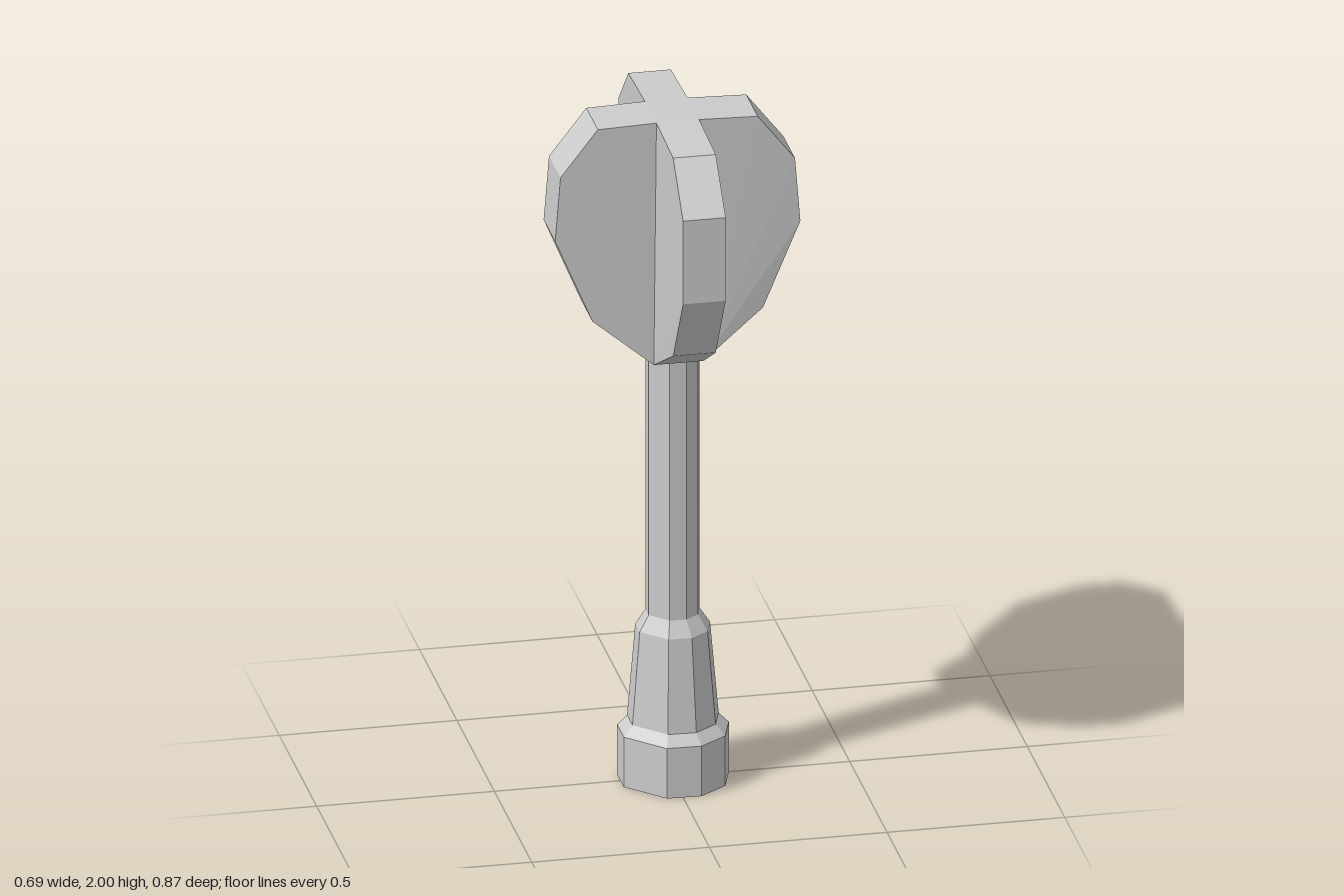
import * as THREE from 'three';

const material = new THREE.MeshStandardMaterial({ color: 0xcccccc, flatShading: true });

// Mesh from a flat list of triangle corners (Vector3)
function meshFromCorners(corners, name) {
  const geometry = new THREE.BufferGeometry().setFromPoints(corners);
  geometry.computeVertexNormals();
  const mesh = new THREE.Mesh(geometry, material);
  mesh.name = name;
  return mesh;
}

// Nine-sided handle section, listed counter-clockwise seen from below
const SECTION = [
  [0.16, 0], [0.13, 0.094], [0.052, 0.15], [-0.045, 0.147], [-0.145, 0.045],
  [-0.145, -0.045], [-0.045, -0.147], [0.052, -0.15], [0.13, -0.094],
];

// Closed loft of the handle section through [height, scale] levels
function loft(levels, name) {
  const rings = levels.map(([y, s]) => SECTION.map(([x, z]) => new THREE.Vector3(x * s, y, z * s)));
  const corners = [];
  const n = SECTION.length;
  for (let k = 0; k < rings.length - 1; k++) {
    for (let i = 0; i < n; i++) {
      const j = (i + 1) % n;
      const a = rings[k][i], b = rings[k][j], c = rings[k + 1][j], d = rings[k + 1][i];
      corners.push(a, c, b, a, d, c);
    }
  }
  const last = rings[rings.length - 1];
  for (let i = 1; i < n - 1; i++) {
    corners.push(rings[0][0], rings[0][i], rings[0][i + 1]);
    corners.push(last[0], last[i + 1], last[i]);
  }
  return meshFromCorners(corners, name);
}

// Flange pointing along the given angle; outline points are
// [reach, height, half thickness], from the top crease to the bottom crease
function flange(outline, angle, name) {
  const side = (s) => outline.map(([r, y, t]) => new THREE.Vector3(r, y, s * t));
  const front = side(1), back = side(-1);
  const n = outline.length;
  const corners = [];
  for (let i = 0; i < n - 1; i++) {
    // outer rim
    corners.push(front[i], front[i + 1], back[i + 1], front[i], back[i + 1], back[i]);
    // cheeks, fanned from the bottom crease
    if (i < n - 2) {
      corners.push(front[n - 1], front[i + 1], front[i]);
      corners.push(back[n - 1], back[i], back[i + 1]);
    }
  }
  const mesh = meshFromCorners(corners, name);
  mesh.rotation.y = angle;
  return mesh;
}

// Horizontal rectangle that closes the middle of the head
function cap(width, depth, y, up, name) {
  const mesh = new THREE.Mesh(new THREE.PlaneGeometry(width, depth), material);
  mesh.rotation.x = up ? -Math.PI / 2 : Math.PI / 2;
  mesh.position.y = y;
  mesh.name = name;
  return mesh;
}

export function createModel() {
  const model = new THREE.Group();
  model.name = 'flangedMace';

  // Handle
  model.add(loft([[0, 1], [0.15, 1], [0.18, 0.82]], 'pommel'));
  model.add(loft([[0.18, 0.82], [0.455, 0.67], [0.5, 0.485]], 'grip'));
  model.add(loft([[0.5, 0.485], [1.29, 0.485]], 'shaft'));

  // Head: two wide-set thick flanges and two longer thin ones
  const sideOutline = [
    [0.06, 2, 0.077], [0.225, 1.995, 0.077], [0.33, 1.86, 0.077],
    [0.345, 1.67, 0.077], [0.24, 1.42, 0.077], [0.07, 1.28, 0.09],
  ];
  const frontOutline = [
    [0.077, 2, 0.06], [0.3, 1.99, 0.06], [0.433, 1.857, 0.06],
    [0.433, 1.607, 0.06], [0.3, 1.395, 0.06], [0.09, 1.28, 0.07],
  ];
  const head = new THREE.Group();
  head.name = 'head';
  head.add(flange(sideOutline, 0, 'leftFlange'));
  head.add(flange(sideOutline, Math.PI, 'rightFlange'));
  head.add(flange(frontOutline, -Math.PI / 2, 'frontFlange'));
  head.add(flange(frontOutline, Math.PI / 2, 'backFlange'));
  head.add(cap(0.12, 0.154, 2, true, 'headTop'));
  head.add(cap(0.14, 0.18, 1.28, false, 'headBottom'));
  model.add(head);

  return model;
}
